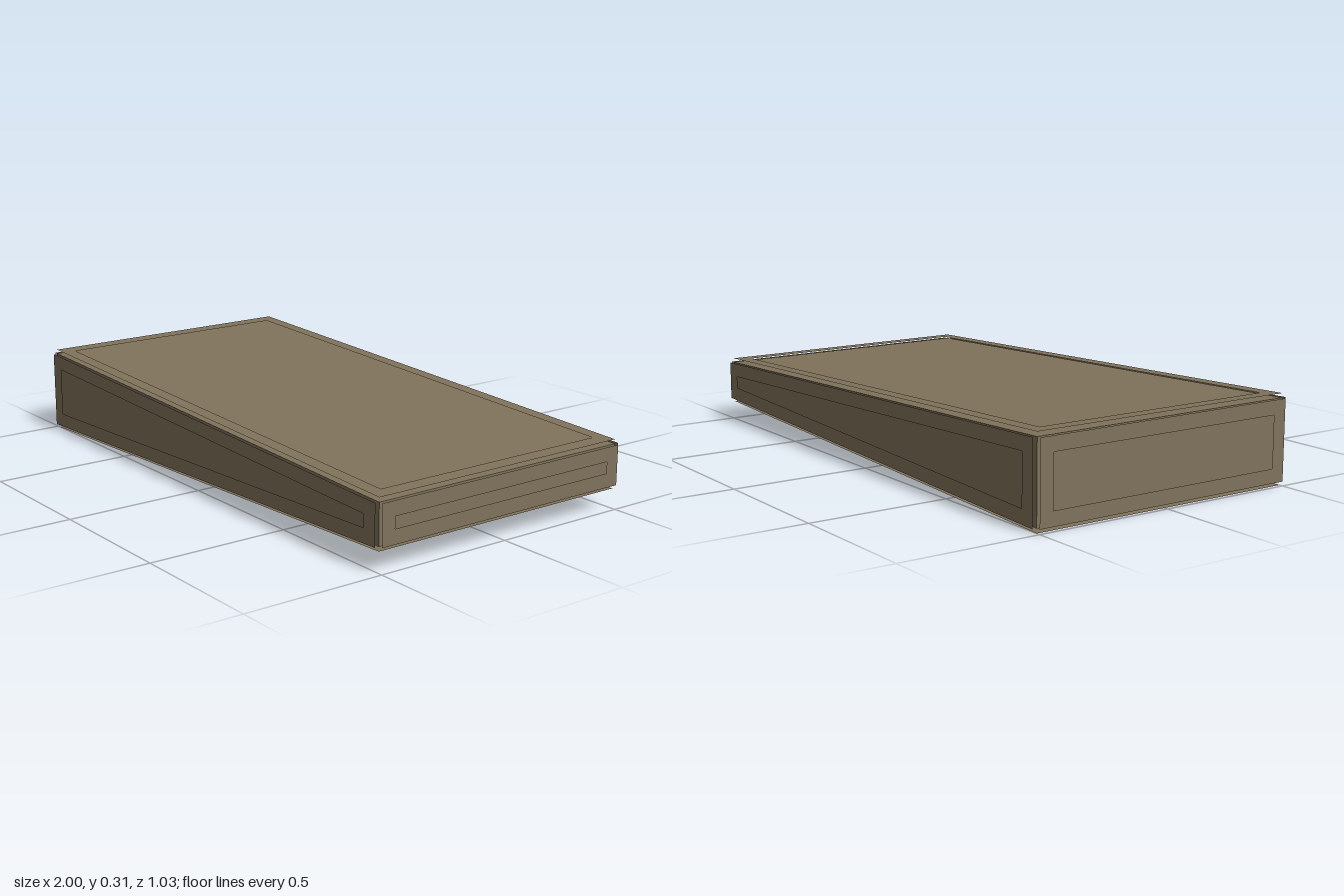
import * as THREE from 'three';

const X = 0.985, Z = 0.5, MID = 0.155, GAP = 0.015;
const INSET_X = 0.055, INSET = 0.05;

// Half the height of the wedge at a given x (thick at -x, thin at +x)
const half = (x) => 0.105 - 0.0355 * x;

// Open rectangular frame: a ring of four flat strips between two corner loops
function frameGeometry(place, side) {
  const corners = [[-1, -1], [1, -1], [1, 1], [-1, 1]];
  if (side < 0) corners.reverse();
  const positions = [];
  for (let k = 0; k < 4; k++) {
    const c = corners[k], d = corners[(k + 1) % 4];
    const o1 = place(c[0], c[1], 0), o2 = place(d[0], d[1], 0);
    const i1 = place(c[0], c[1], 1), i2 = place(d[0], d[1], 1);
    positions.push(...o1, ...o2, ...i2, ...o1, ...i2, ...i1);
  }
  const geometry = new THREE.BufferGeometry();
  geometry.setAttribute('position', new THREE.Float32BufferAttribute(positions, 3));
  geometry.computeVertexNormals();
  return geometry;
}

export function createModel() {
  const group = new THREE.Group();
  group.name = 'taperedPanel';

  const brown = new THREE.MeshStandardMaterial({ color: 0x80735c, side: THREE.DoubleSide });
  brown.name = 'dullBrown';

  const add = (name, geometry) => {
    const mesh = new THREE.Mesh(geometry, brown);
    mesh.name = name;
    group.add(mesh);
  };

  // Wedge-shaped core
  const profile = new THREE.Shape([
    new THREE.Vector2(-X, MID - half(-X)),
    new THREE.Vector2(X, MID - half(X)),
    new THREE.Vector2(X, MID + half(X)),
    new THREE.Vector2(-X, MID + half(-X)),
  ]);
  const core = new THREE.ExtrudeGeometry(profile, { depth: 2 * Z, bevelEnabled: false });
  core.translate(0, 0, -Z);
  add('core', core);

  // Thin border frames floating just off each of the six faces
  for (const s of [1, -1]) {
    add(s > 0 ? 'frontFrame' : 'backFrame', frameGeometry((a, b, i) => {
      const x = a * (X - i * INSET_X);
      return [x, MID + b * (half(x) - i * INSET), s * (Z + GAP)];
    }, s));

    add(s > 0 ? 'leftFrame' : 'rightFrame', frameGeometry((a, b, i) =>
      [s * (X + GAP), MID + a * (half(s * X) - i * INSET), b * (Z - i * INSET)], s));

    add(s > 0 ? 'topFrame' : 'bottomFrame', frameGeometry((a, b, i) => {
      const x = b * (X - i * INSET_X);
      return [x, MID + s * (half(x) + GAP), a * (Z - i * INSET)];
    }, s));
  }

  return group;
}
